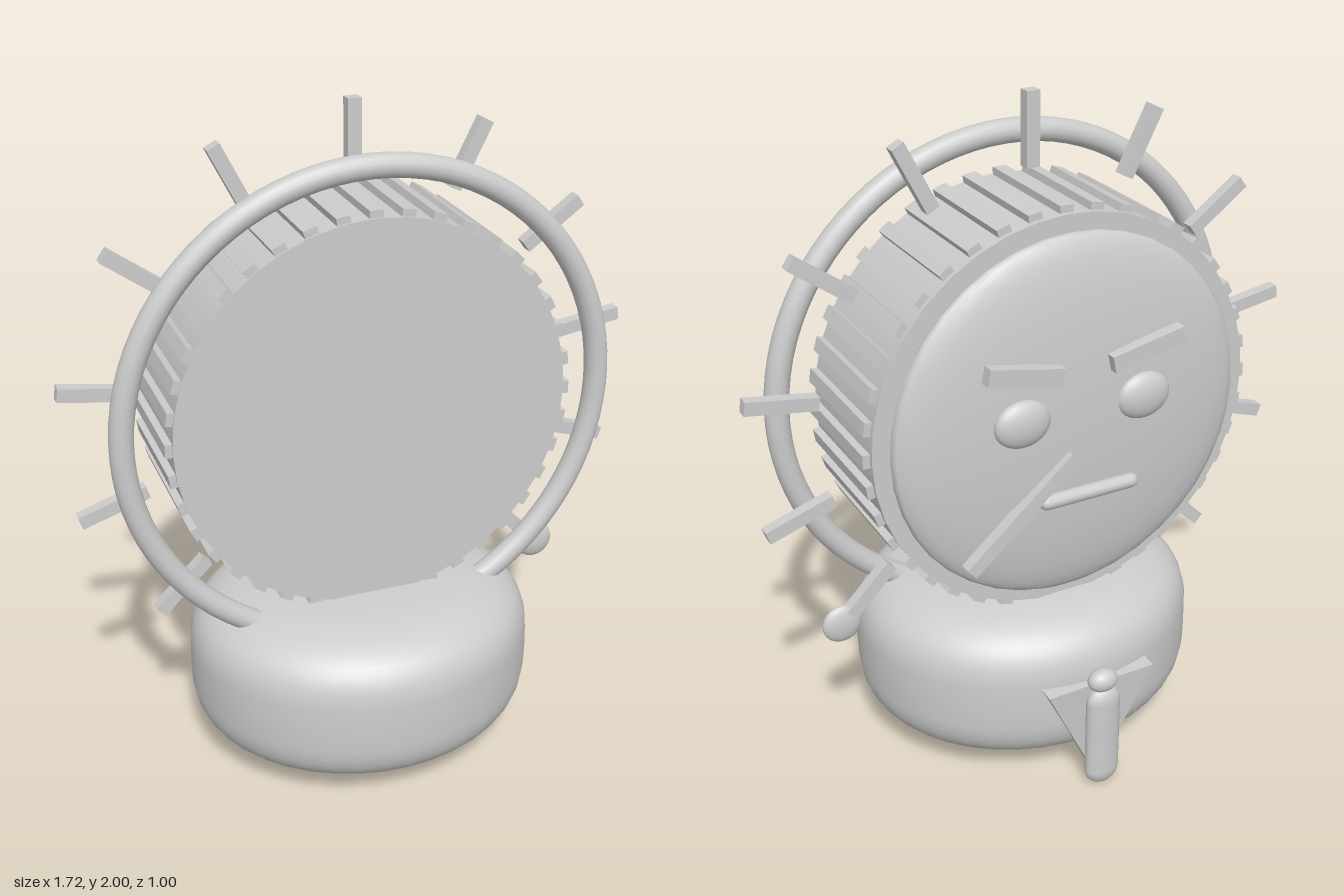
import * as THREE from 'three';

const grey = new THREE.MeshStandardMaterial({ color: 0xcccccc });
grey.name = 'plain grey';
const HEAD_Y = 1.13;

export function createModel() {
  const model = new THREE.Group();
  model.name = 'ringedDrumFigure';

  const add = (name, geometry, x, y, z, parent = model) => {
    const mesh = new THREE.Mesh(geometry, grey);
    mesh.name = name;
    mesh.position.set(x, y, z);
    parent.add(mesh);
    return mesh;
  };
  const ellipsoid = (rx, ry, rz, w = 24, h = 16) =>
    new THREE.SphereGeometry(1, w, h).scale(rx, ry, rz);

  // Squashed body: superellipse profile, slightly narrower front to back
  const profile = [];
  for (let i = 0; i <= 32; i++) {
    const a = -Math.PI / 2 + (Math.PI * i) / 32;
    const c = Math.max(0, Math.cos(a)), s = Math.sin(a);
    profile.push(new THREE.Vector2(
      0.53 * Math.pow(c, 2 / 3.5),
      0.26 * Math.sign(s) * Math.pow(Math.abs(s), 2 / 3.5)));
  }
  add('body', new THREE.LatheGeometry(profile, 40).scale(1, 1, 0.892), 0, 0.3, 0.032);

  // Head: drum with ribs, all centred on one axis
  const head = new THREE.Group();
  head.name = 'head';
  head.position.y = HEAD_Y;
  model.add(head);
  add('drum', new THREE.CylinderGeometry(0.59, 0.59, 0.405, 40).rotateX(Math.PI / 2), 0, 0, -0.032, head);

  const radialBox = (name, angle, r0, r1, width, depth, z) => {
    const r = (r0 + r1) / 2;
    const box = add(name, new THREE.BoxGeometry(r1 - r0, width, depth),
      r * Math.cos(angle), r * Math.sin(angle), z, head);
    box.rotation.z = angle;
  };
  for (let i = 0; i < 40; i++) {
    radialBox('rib', (i * Math.PI) / 20, 0.57, 0.61, 0.04, 0.385, -0.028);
  }

  // Open ring around the front of the head
  const ring = add('ring', new THREE.TorusGeometry(0.72, 0.035, 16, 72, (Math.PI * 5) / 3), 0, 0, 0.127, head);
  ring.rotation.z = -Math.PI / 3;

  // Eleven rays, with a flat bead on the last one
  for (let i = 0; i < 11; i++) {
    radialBox('ray', THREE.MathUtils.degToRad(-45 + 27 * i), 0.66, 0.87, 0.04, 0.036, -0.02);
  }
  add('rayBead', ellipsoid(0.06, 0.06, 0.024), 0.625, -0.625, -0.02, head);

  // Face on the back of the drum
  add('face', ellipsoid(0.545, 0.545, 0.083, 32, 20), 0, 0, -0.25, head);
  for (const side of [-1, 1]) {
    add('eye', ellipsoid(0.085, 0.07, 0.035), 0.19 * side, 0.06, -0.325, head);
    const brow = add('brow', new THREE.BoxGeometry(0.23, 0.05, 0.036), 0.19 * side, 0.208, -0.338, head);
    brow.rotation.z = 0.2 * side;
  }
  add('mouth', new THREE.CapsuleGeometry(0.022, 0.27, 6, 12).rotateZ(Math.PI / 2), -0.015, -0.195, -0.338, head);
  const stick = add('stick', new THREE.BoxGeometry(0.43, 0.04, 0.036), 0.198, -0.21, -0.335, head);
  stick.rotation.z = -0.71;

  // Triangular plate leaning on the back of the body
  const triangle = new THREE.Shape([
    new THREE.Vector2(-0.175, 0.36),
    new THREE.Vector2(0, 0),
    new THREE.Vector2(0.175, 0.36),
  ]);
  const plate = add('backPlate', new THREE.ExtrudeGeometry(triangle, { depth: 0.045, bevelEnabled: false }), 0, 0.002, -0.438);
  plate.rotation.x = -0.06;

  // Hanging pendant with a knob
  add('pendant', new THREE.CapsuleGeometry(0.055, 0.24, 8, 20).scale(1, 1, 0.58), 0, 0.178, -0.468);
  add('pendantKnob', ellipsoid(0.047, 0.036, 0.034), 0, 0.37, -0.462);

  return model;
}
